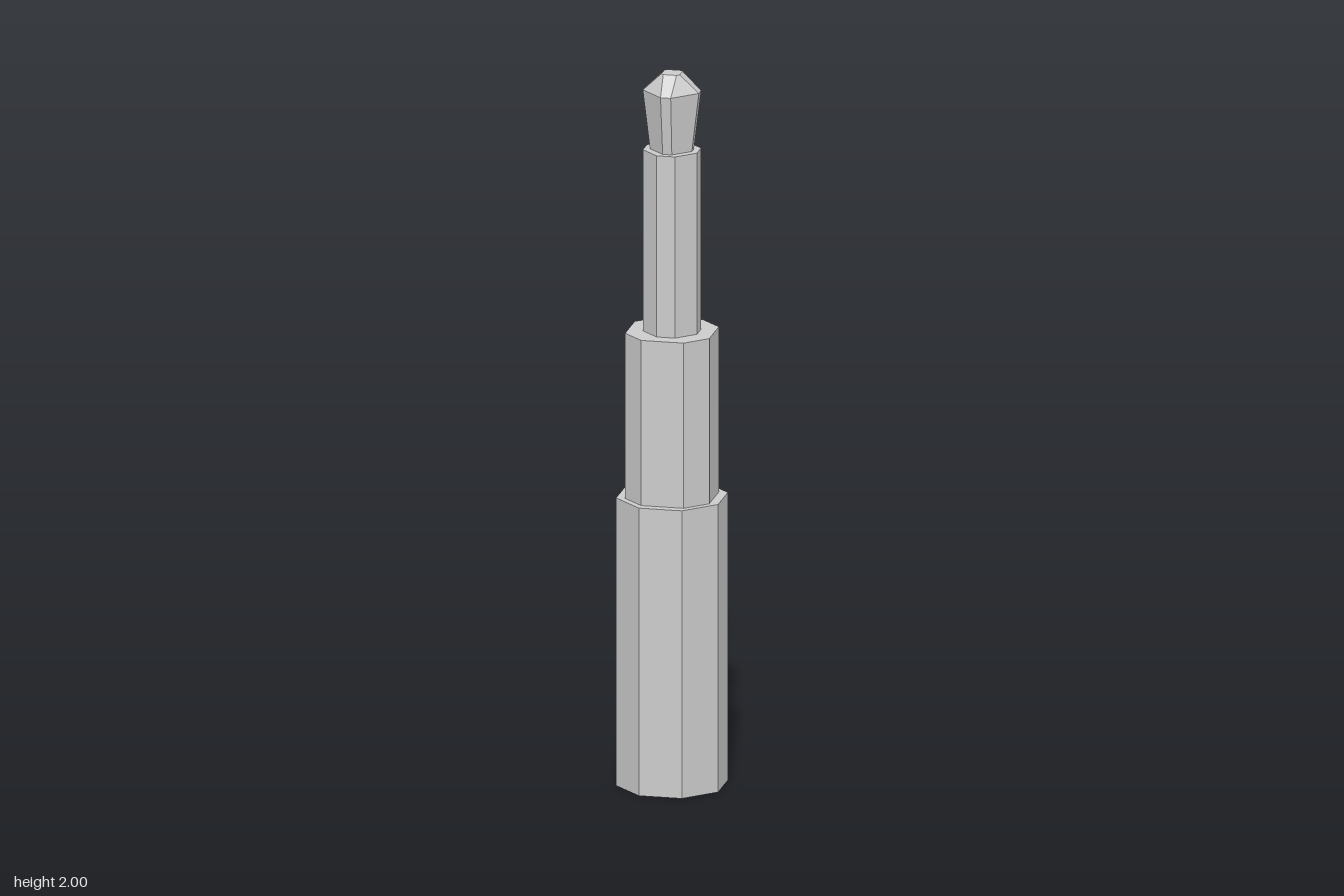
import * as THREE from 'three';

const material = new THREE.MeshStandardMaterial({ color: 0xcccccc, flatShading: true });

// Chamfered-square ring: half = distance to the flats, flat = half length of each flat.
// Runs counter-clockwise seen from above.
function ring([y, half, flat]) {
  const points = [];
  for (let i = 0; i < 4; i++) {
    const c = Math.round(Math.cos(i * Math.PI / 2));
    const s = Math.round(Math.sin(i * Math.PI / 2));
    for (const t of [-flat, flat]) points.push([c * half - s * t, y, -(s * half + c * t)]);
  }
  return points;
}

// Closed eight-sided solid through a stack of sections [y, half, flat], bottom to top.
function loft(name, sections) {
  const rings = sections.map(ring);
  const positions = [];
  const tri = (a, b, c) => positions.push(...a, ...b, ...c);
  const bottom = rings[0];
  const top = rings[rings.length - 1];
  for (let i = 0; i < 8; i++) {
    const j = (i + 1) % 8;
    for (let k = 0; k < rings.length - 1; k++) {
      const lo = rings[k], hi = rings[k + 1];
      tri(lo[i], lo[j], hi[j]);
      tri(lo[i], hi[j], hi[i]);
    }
    if (i > 0 && i < 7) {
      tri(top[0], top[i], top[j]);
      tri(bottom[0], bottom[j], bottom[i]);
    }
  }
  const geometry = new THREE.BufferGeometry();
  geometry.setAttribute('position', new THREE.Float32BufferAttribute(positions, 3));
  geometry.computeVertexNormals();
  const mesh = new THREE.Mesh(geometry, material);
  mesh.name = name;
  return mesh;
}

export function createModel() {
  const model = new THREE.Group();
  model.name = 'steppedPlug';

  // Three stepped prisms, each narrower than the one below
  model.add(loft('handle', [[0, 0.142, 0.058], [0.81, 0.142, 0.058]]));
  model.add(loft('collar', [[0.81, 0.124, 0.041], [1.275, 0.124, 0.041]]));
  model.add(loft('shaft', [[1.275, 0.071, 0.035], [1.785, 0.071, 0.035]]));

  // Tip flares outward, then closes to a small flat end
  model.add(loft('tip', [[1.785, 0.05, 0.032], [1.95, 0.065, 0.045], [2, 0.031, 0.005]]));

  return model;
}
